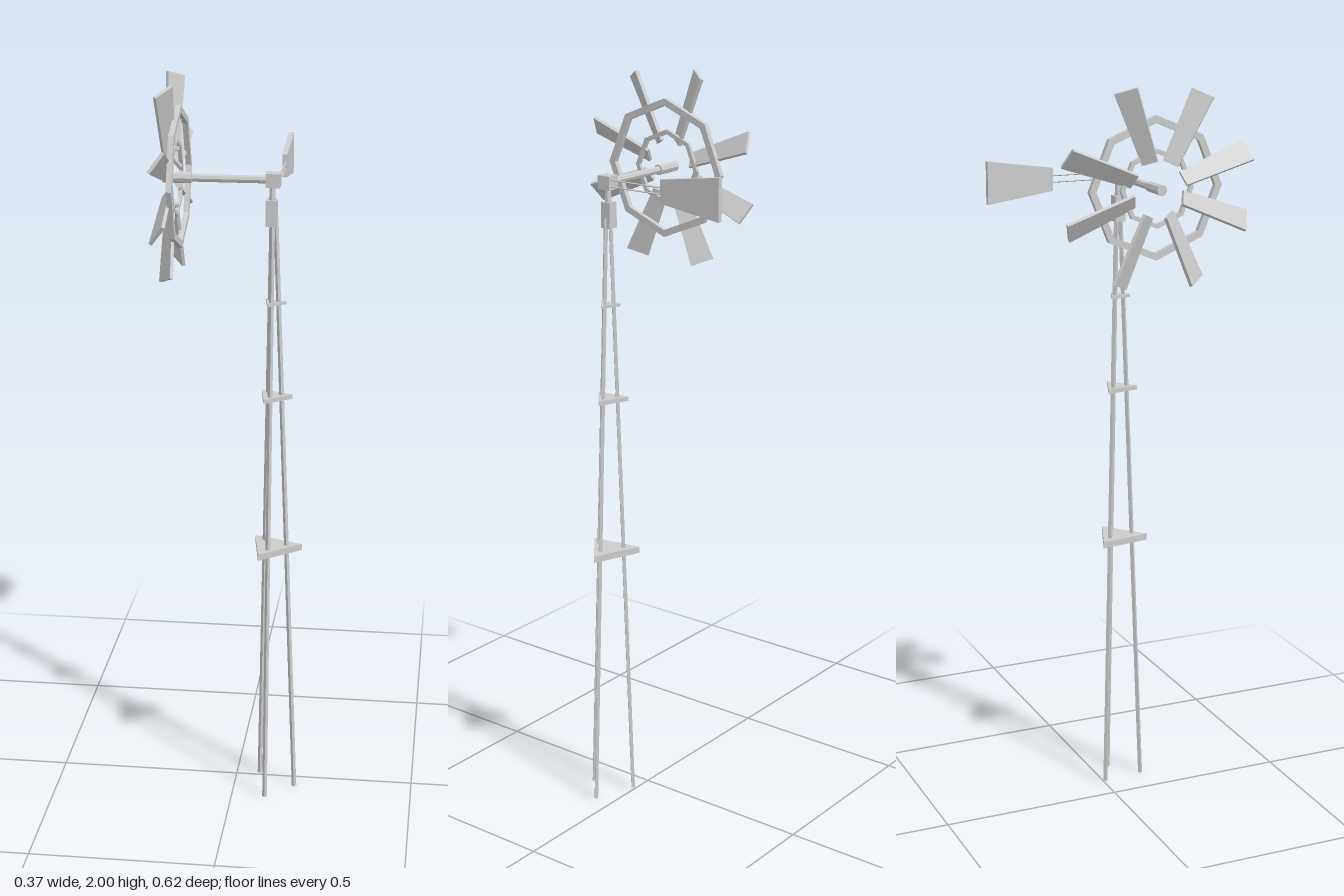
import * as THREE from 'three';

const mat = new THREE.MeshStandardMaterial({ color: 0xcccccc, flatShading: true });
const AX = 0.1, AZ = 0.053, HUB_Y = 1.742; // tower axis and shaft height

function add(parent, name, geometry, x = 0, y = 0, z = 0) {
  const mesh = new THREE.Mesh(geometry, mat);
  mesh.name = name;
  mesh.position.set(x, y, z);
  parent.add(mesh);
  return mesh;
}

// Straight bar between two points
function bar(parent, name, a, b, radius, sides) {
  const dir = b.clone().sub(a);
  const mesh = add(parent, name, new THREE.CylinderGeometry(radius, radius, dir.length(), sides));
  mesh.position.copy(a).add(b).multiplyScalar(0.5);
  mesh.quaternion.setFromUnitVectors(new THREE.Vector3(0, 1, 0), dir.normalize());
}

const v = (x, y, z) => new THREE.Vector3(x, y, z);

function polygon(points) {
  return new THREE.Shape(points.map(([x, y]) => new THREE.Vector2(x, y)));
}

function slab(shape, depth) {
  return new THREE.ExtrudeGeometry(shape, { depth, bevelEnabled: false });
}

// Eight-sided flat ring
function octagonRing(outer, inner, depth) {
  const corners = r => Array.from({ length: 8 }, (_, i) =>
    [r * Math.cos(i * Math.PI / 4), r * Math.sin(i * Math.PI / 4)]);
  const shape = polygon(corners(outer));
  shape.holes.push(polygon(corners(inner)));
  return slab(shape, depth);
}

function buildTower() {
  const tower = new THREE.Group();
  tower.name = 'tower';
  // Three legs leaning together
  for (const [x, y, z] of [[0.17, 0, 0.052], [0.067, 0.008, 0.001], [0.093, 0, 0.122]]) {
    const top = v(AX + (x - AX) * 0.1, 1.65, AZ + (z - AZ) * 0.1);
    bar(tower, 'leg', v(x, y, z), top, 0.0065, 4);
  }
  // Triangular brace plates
  for (const [y, r, h] of [[0.729, 0.082, 0.018], [1.161, 0.053, 0.012], [1.418, 0.034, 0.008]]) {
    add(tower, 'bracePlate', new THREE.CylinderGeometry(r, r, h, 3), AX + 0.002, y, AZ + 0.001)
      .rotation.y = THREE.MathUtils.degToRad(99);
  }
  // Collar, neck and gearbox
  add(tower, 'collar', new THREE.BoxGeometry(0.029, 0.068, 0.029), AX - 0.004, 1.656, AZ);
  add(tower, 'neck', new THREE.CylinderGeometry(0.007, 0.01, 0.05, 6), AX - 0.002, 1.708, AZ);
  add(tower, 'gearbox', new THREE.BoxGeometry(0.037, 0.036, 0.037), AX, HUB_Y, AZ - 0.001);
  return tower;
}

function buildWheel() {
  const wheel = new THREE.Group();
  wheel.name = 'windWheel';
  wheel.position.set(-0.163, HUB_Y, AZ - 0.001);
  wheel.rotation.y = Math.PI / 2;

  // Tapered, pitched blades, slightly unevenly spaced
  const blade = slab(polygon([[0.072, -0.021], [0.267, -0.031], [0.267, 0.031], [0.072, 0.021]]), 0.009);
  blade.translate(0, 0, -0.0045);
  for (const degrees of [20, 70, 117, 161, 201, 246, 294, 339]) {
    const arm = new THREE.Group();
    arm.name = 'bladeArm';
    arm.rotation.z = THREE.MathUtils.degToRad(degrees);
    add(arm, 'blade', blade).rotation.x = -0.61;
    wheel.add(arm);
  }

  // Rings holding the blades
  add(wheel, 'outerRing', octagonRing(0.185, 0.166, 0.014), 0, 0, 0.013);
  add(wheel, 'innerRing', octagonRing(0.102, 0.09, 0.01), 0, 0, 0.007);

  // Hub and drive shaft
  bar(wheel, 'hub', v(0, 0, -0.021), v(0, 0, 0.053), 0.0142, 8);
  bar(wheel, 'driveShaft', v(0, 0, 0.05), v(0, 0, 0.25), 0.01, 8);
  return wheel;
}

function buildTail() {
  const tail = new THREE.Group();
  tail.name = 'tail';
  // Vane drawn as distance behind and height, then turned towards the back
  const vane = slab(polygon([[0.13, -0.03], [0.311, -0.056], [0.311, 0.056], [0.13, 0.03]]), 0.014);
  add(tail, 'tailVane', vane, 0.105, HUB_Y, 0).rotation.y = Math.PI / 2;
  for (const dy of [-0.008, 0.009]) {
    bar(tail, 'tailRod', v(0.114, HUB_Y + dy, 0.045), v(0.114, HUB_Y + dy, -0.14), 0.002, 4);
  }
  return tail;
}

export function createModel() {
  const model = new THREE.Group();
  model.name = 'windPump';
  model.add(buildTower(), buildWheel(), buildTail());
  return model;
}
